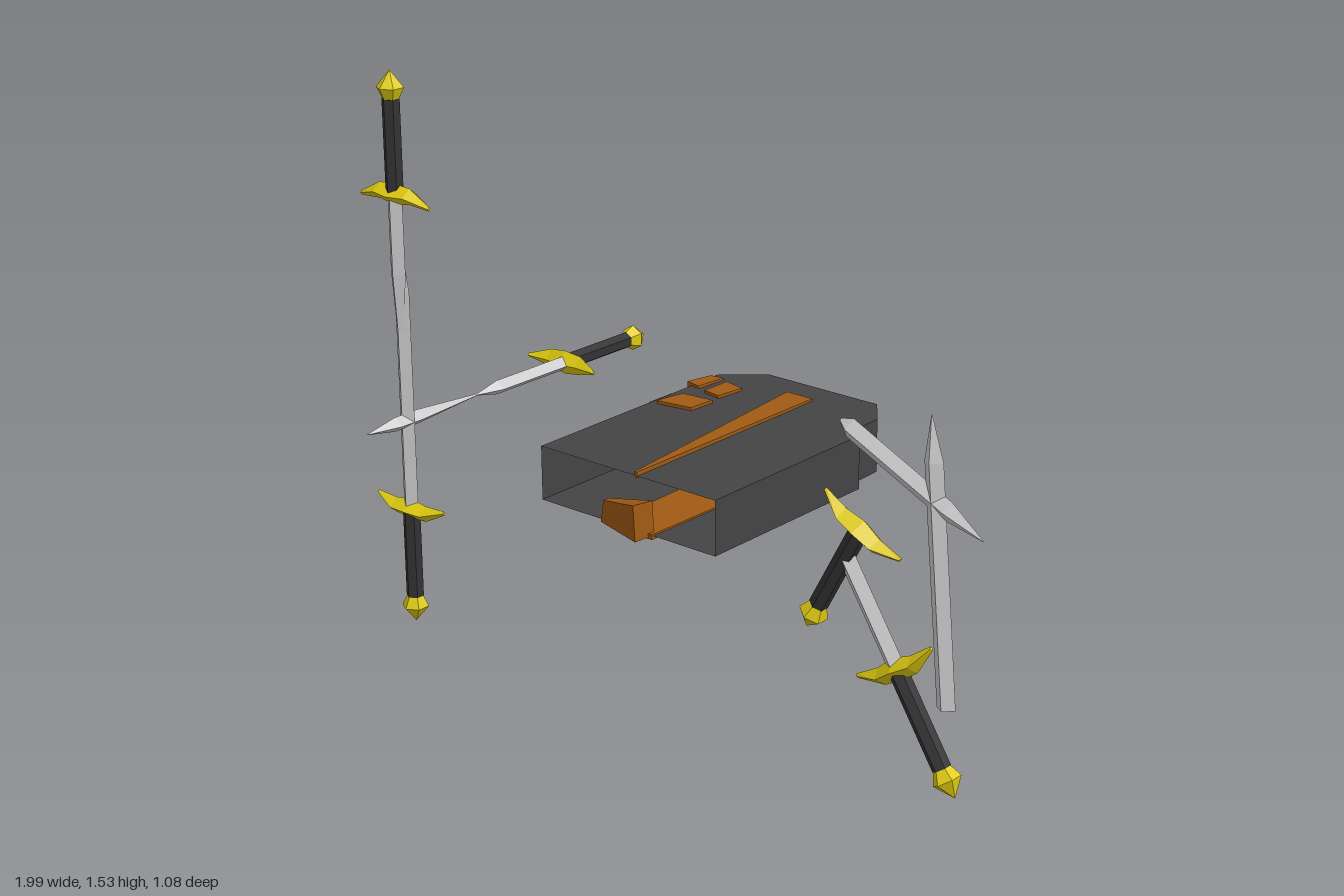
import * as THREE from 'three';

const mat = (color) => new THREE.MeshStandardMaterial({ color, flatShading: true, side: THREE.DoubleSide });
const STEEL = mat(0xcccccc), GOLD = mat(0xe0cc10), GRIP = mat(0x333333);
const LEATHER = mat(0x444444), TRIM = mat(0xa05a14);

function mesh(name, geometry, material, parent) {
  const m = new THREE.Mesh(geometry, material);
  m.name = name;
  parent.add(m);
  return m;
}

// Skin a list of equal-sized rings of [x, y, z] points, optionally capping the ends
function loft(rings, capStart = true, capEnd = true) {
  const pos = [], n = rings[0].length;
  const tri = (...pts) => pts.forEach((p) => pos.push(...p));
  for (let i = 0; i + 1 < rings.length; i++) {
    for (let j = 0; j < n; j++) {
      const k = (j + 1) % n, a = rings[i], b = rings[i + 1];
      tri(a[j], a[k], b[k]);
      tri(a[j], b[k], b[j]);
    }
  }
  const cap = (r) => { for (let j = 1; j + 1 < n; j++) tri(r[0], r[j], r[j + 1]); };
  if (capStart) cap(rings[0]);
  if (capEnd) cap(rings[rings.length - 1]);
  const g = new THREE.BufferGeometry();
  g.setAttribute('position', new THREE.Float32BufferAttribute(pos, 3));
  g.computeVertexNormals();
  return g;
}

// Diamond-section blade along y from sections [y, scale]
function bladeGeometry(sections) {
  return loft(sections.map(([y, s]) => {
    const w = 0.027 * s, d = 0.02 * s;
    return [[w, y, 0], [0, y, d], [-w, y, 0], [0, y, -d]];
  }));
}

// Sword with the pommel tip at the origin and the blade along +y
function sword(name, bladeEnd, taper) {
  const g = new THREE.Group();
  g.name = name;
  const profile = [[0, 0], [0.037, 0.045], [0.02, 0.08], [0, 0.08]];
  mesh('pommel', new THREE.LatheGeometry(profile.map(([x, y]) => new THREE.Vector2(x, y)), 6), GOLD, g);
  mesh('grip', new THREE.CylinderGeometry(0.024, 0.024, 0.25, 6).translate(0, 0.2, 0), GRIP, g);
  // Crossguard: pointed arms swept towards the blade
  const arms = [[-0.125, 0.345, 0.006, 0.005], [-0.055, 0.325, 0.022, 0.027], [0, 0.328, 0.028, 0.034],
    [0.055, 0.325, 0.022, 0.027], [0.125, 0.345, 0.006, 0.005]];
  mesh('crossguard', loft(arms.map(([x, y, h, d]) =>
    [[x, y + h, 0], [x, y, d], [x, y - h, 0], [x, y, -d]])), GOLD, g);
  if (bladeEnd) mesh('blade', bladeGeometry([[0.33, 1], [bladeEnd - taper, 1], [bladeEnd, 0.1]]), STEEL, g);
  return g;
}

// Flat plate with an outline in x/z, between two heights
function plate(name, outline, y0, y1, parent) {
  const at = (y) => outline.map(([x, z]) => [x, y, z]);
  return mesh(name, loft([at(y0), at(y1)]), TRIM, parent);
}

export function createModel() {
  const model = new THREE.Group();
  model.name = 'brokenSwordsAndSheath';
  const place = (object, x, y, z, rx, rz) => {
    object.position.set(x, y, z);
    object.rotation.set(rx, 0, rz);
    model.add(object);
  };

  // Standing, hanging and lying swords
  place(sword('uprightSword', 1.07, 0.13), -0.87, 0.01, 0.39, 0, 0);
  place(sword('hangingSword', 0.82, 0.28), -0.87, 1.54, 0.4, 0, Math.PI);
  place(sword('lyingSword', 0.68, 0.08), -0.87, 0.59, -0.545, Math.PI / 2, 0);
  place(mesh('lyingBladeTip', bladeGeometry([[0, 0.15], [0.22, 1], [0.3, 1], [0.4, 0.05]]), STEEL, model),
    -0.87, 0.59, 0.135, Math.PI / 2, 0);

  // Broken hilts
  place(sword('brokenHiltLeft', 0.64, 0.03), 0.94, 0.085, 0.4, 0, Math.atan2(0.53, 0.845));
  place(sword('brokenHiltRight', 0, 0), 0.495, 0.395, 0.4, 0, -Math.atan2(0.476, 0.88));

  // Loose blades
  place(mesh('looseBlade', bladeGeometry([[0, 1], [0.6, 1], [0.71, 0.05]]), STEEL, model),
    0.908, 0.305, 0.4, 0, 0.083);
  place(mesh('bladeShard', bladeGeometry([[0, 0.2], [0.03, 1], [0.34, 1], [0.45, 0.05]]), STEEL, model),
    0.592, 0.94, 0.4, 0, -Math.PI / 2 - 0.445);

  // Wide hollow sheath, open at the front
  const sheath = new THREE.Group();
  sheath.name = 'sheath';
  model.add(sheath);
  const sections = [
    [0.435, -0.335, 0.24, 0.515, 0.66], [-0.13, -0.335, 0.24, 0.517, 0.663],
    [-0.15, -0.335, 0.205, 0.517, 0.663], [-0.25, -0.335, 0.205, 0.52, 0.665],
    [-0.36, -0.25, 0.12, 0.525, 0.655], [-0.455, -0.08, -0.06, 0.57, 0.6],
  ];
  mesh('shell', loft(sections.map(([z, x0, x1, y0, y1]) =>
    [[x0, y0, z], [x1, y0, z], [x1, y1, z], [x0, y1, z]]), false), LEATHER, sheath);

  // Trim on the top and left-hand edge of the sheath
  plate('topStripe', [[-0.095, -0.25], [-0.01, -0.25], [-0.01, 0.435], [-0.018, 0.435],
    [-0.045, -0.04], [-0.08, -0.14]], 0.655, 0.671, sheath);
  plate('topPatchBack', [[-0.27, -0.21], [-0.205, -0.195], [-0.215, -0.11], [-0.27, -0.12]], 0.65, 0.671, sheath);
  plate('topPatchFront', [[-0.3, -0.065], [-0.205, -0.075], [-0.21, 0.005], [-0.315, 0.02]], 0.65, 0.671, sheath);
  plate('sidePatchBack', [[-0.335, -0.22], [-0.295, -0.225], [-0.305, -0.135], [-0.352, -0.145]], 0.54, 0.671, sheath);
  plate('sidePatchFront', [[-0.36, -0.09], [-0.33, -0.09], [-0.33, 0.01], [-0.36, 0]], 0.53, 0.65, sheath);

  // Underside strip ending in a point behind and a lip at the mouth
  plate('undersideStrip', [[-0.1, 0.44], [0.04, 0.44], [0.05, -0.1], [0.03, -0.32],
    [-0.12, -0.32], [-0.1, 0]], 0.506, 0.52, sheath);
  mesh('backSpike', loft([[-0.28, 0.1, 0.507, 0.53], [-0.42, 0.032, 0.535, 0.56], [-0.515, 0.004, 0.555, 0.562]]
    .map(([z, w, y0, y1]) => [[-0.07 - w, y0, z], [-0.07 + w, y0, z], [-0.07 + w, y1, z], [-0.07 - w, y1, z]])),
  TRIM, sheath);
  mesh('mouthLip', loft([
    [[-0.14, 0.51, 0.42], [0.03, 0.51, 0.42], [0.025, 0.6, 0.42], [-0.12, 0.57, 0.42]],
    [[-0.13, 0.51, 0.44], [0.025, 0.51, 0.485], [0.02, 0.605, 0.485], [-0.12, 0.57, 0.44]],
  ]), TRIM, sheath);
  return model;
}
